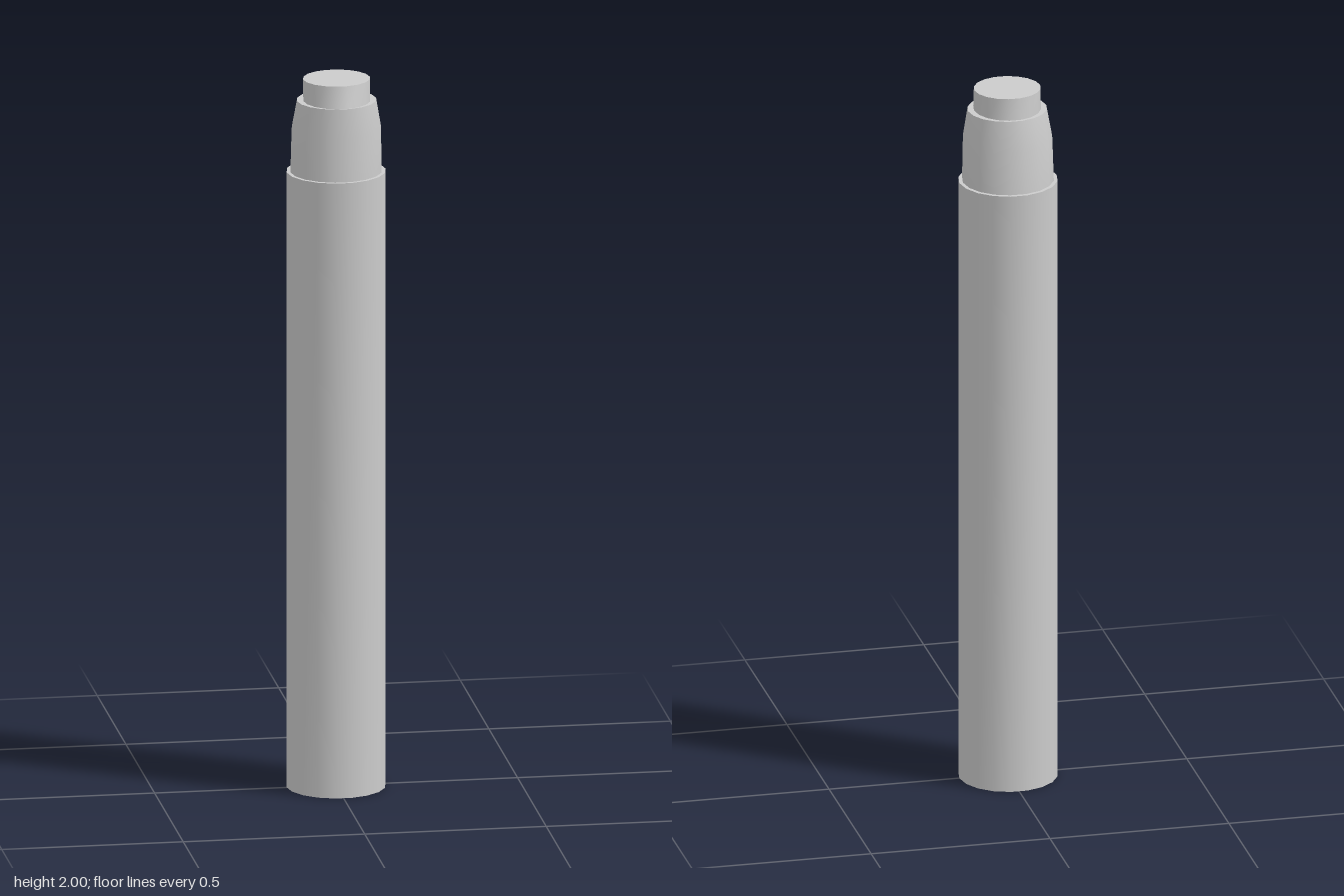
import * as THREE from 'three';
import { toCreasedNormals } from 'three/addons/utils/BufferGeometryUtils.js';

const SIDES = 18;

// Closed loft through oval rings, listed bottom to top: [y, x radius, z back, z front]
function loft(name, rings, material) {
  const n = rings.length - 1;
  const geo = new THREE.CylinderGeometry(1, 1, n, SIDES, n, false, Math.PI / 2);
  const p = geo.attributes.position;
  for (let i = 0; i < p.count; i++) {
    const [y, rx, back, front] = rings[Math.round(p.getY(i) + n / 2)];
    p.setXYZ(i, p.getX(i) * rx, y, (back + front) / 2 + p.getZ(i) * (front - back) / 2);
  }
  const mesh = new THREE.Mesh(toCreasedNormals(geo, 0.6), material);
  mesh.name = name;
  return mesh;
}

export function createModel() {
  const group = new THREE.Group();
  group.name = 'tube';
  const grey = new THREE.MeshStandardMaterial({ color: 0xcccccc });

  // Long straight body
  group.add(loft('body', [
    [0, 0.136, -0.136, 0.134],
    [1.737, 0.136, -0.136, 0.134],
  ], grey));

  // Neck that tapers mostly at the back
  group.add(loft('neck', [
    [1.73, 0.126, -0.126, 0.125],
    [1.86, 0.123, -0.114, 0.121],
    [1.94, 0.109, -0.096, 0.113],
  ], grey));

  // Short stub, narrowing front to back only
  group.add(loft('tip', [
    [1.93, 0.092, -0.089, 0.112],
    [2, 0.092, -0.08, 0.095],
  ], grey));

  return group;
}
